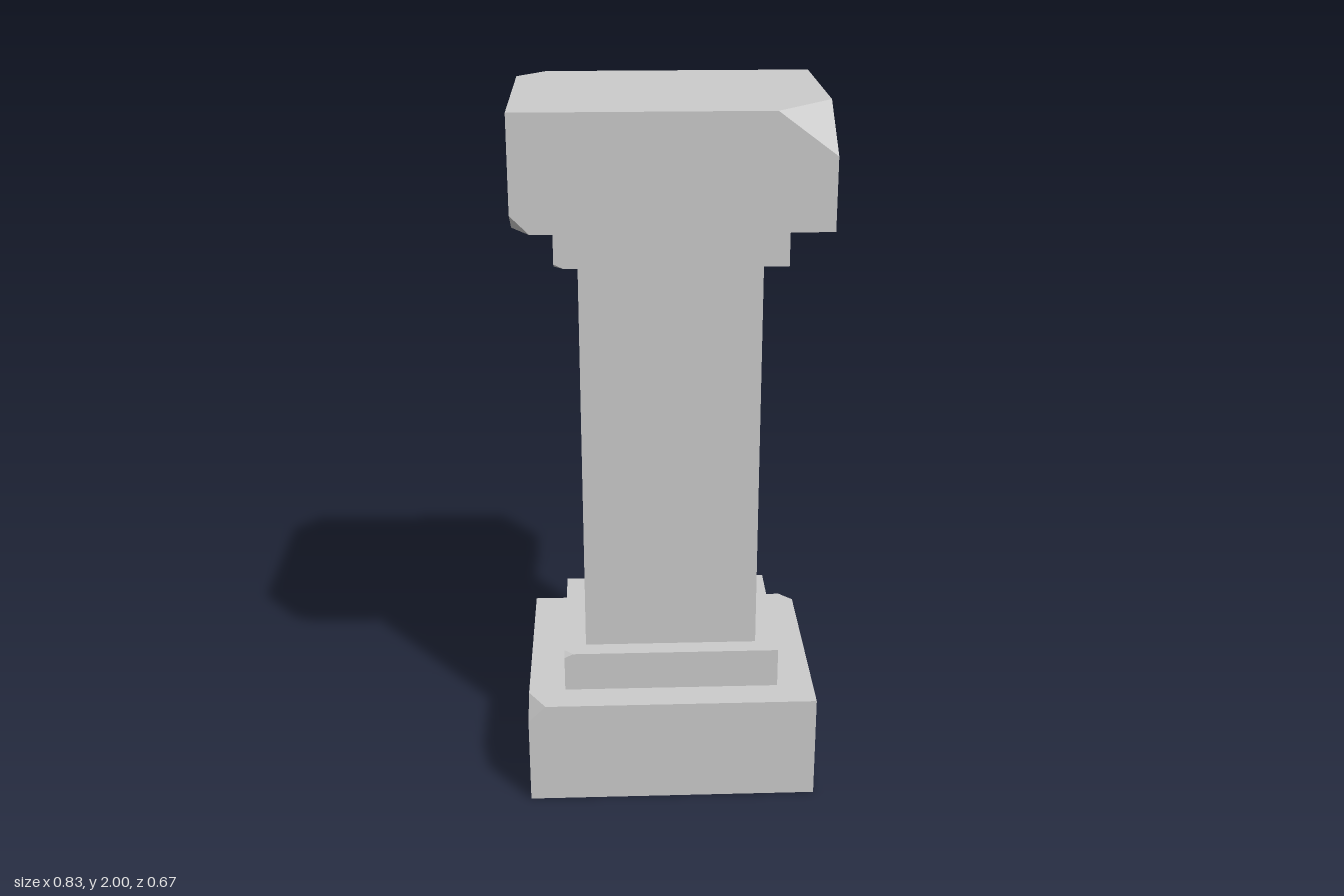
import * as THREE from 'three';
import { ConvexGeometry } from 'three/addons/geometries/ConvexGeometry.js';

const material = new THREE.MeshStandardMaterial({ color: 0xcccccc, flatShading: true });

// Stone block between two corners. Each chip is [signX, signY, signZ, cutX, cutY, cutZ].
function stoneBlock(name, min, max, chips = []) {
  const points = [];
  for (const sx of [-1, 1]) for (const sy of [-1, 1]) for (const sz of [-1, 1]) {
    const s = [sx, sy, sz];
    const corner = s.map((v, i) => (v > 0 ? max[i] : min[i]));
    const chip = chips.find((c) => s.every((v, i) => v === c[i]));
    if (!chip) {
      points.push(new THREE.Vector3(...corner));
      continue;
    }
    // A chipped corner becomes three points, one along each edge
    for (let axis = 0; axis < 3; axis++) {
      const p = [...corner];
      p[axis] -= s[axis] * chip[3 + axis];
      points.push(new THREE.Vector3(...p));
    }
  }
  const mesh = new THREE.Mesh(new ConvexGeometry(points), material);
  mesh.name = name;
  return mesh;
}

// Collar in two halves, so the chips at the joint form a nick in the back edge
function collar(name, y0, y1, sy) {
  const group = new THREE.Group();
  group.name = name;
  const joint = -0.02;
  group.add(
    stoneBlock(name + 'RightHalf', [-0.31, y0, -0.24], [joint, y1, 0.24], [
      [-1, sy, 1, 0.025, 0.012, 0.025],
      [1, sy, -1, 0.02, 0.012, 0.015],
    ]),
    stoneBlock(name + 'LeftHalf', [joint, y0, -0.24], [0.31, y1, 0.24], [
      [-1, sy, -1, 0.02, 0.012, 0.015],
    ]),
  );
  return group;
}

export function createModel() {
  const model = new THREE.Group();
  model.name = 'pillar';

  // Small chips shared by the base and the capital, on the side facing the shaft
  const smallChips = (sy) => [
    [-1, sy, 1, 0.05, 0.05, 0.08],
    [1, sy, -1, 0.04, 0.027, 0.04],
  ];

  model.add(
    stoneBlock('base', [-0.415, 0, -0.333], [0.415, 0.31, 0.333], smallChips(1)),
    collar('lowerCollar', 0.31, 0.427, 1),
    stoneBlock('shaft', [-0.248, 0.427, -0.185], [0.248, 1.577, 0.185]),
    collar('upperCollar', 1.577, 1.692, -1),
    // Capital with two large broken corners on top
    stoneBlock('capital', [-0.415, 1.692, -0.333], [0.415, 2, 0.333], [
      ...smallChips(-1),
      [1, 1, 1, 0.155, 0.115, 0.165],
      [-1, 1, -1, 0.08, 0.17, 0.09],
    ]),
  );
  return model;
}
